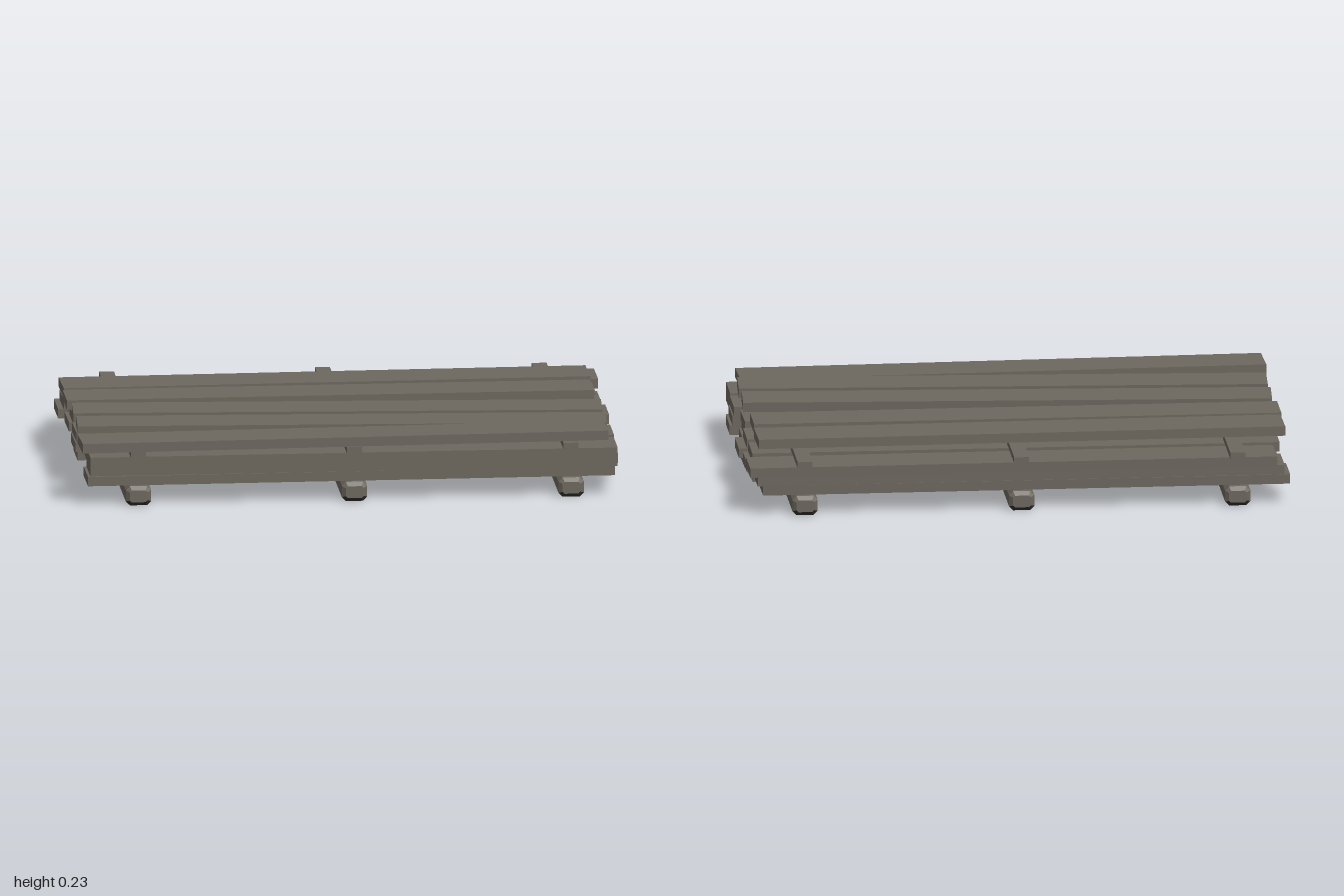
import * as THREE from 'three';

export function createModel() {
  const model = new THREE.Group();
  model.name = 'plankPallet';
  const wood = new THREE.MeshStandardMaterial({ color: 0x6c675e });
  wood.name = 'weatheredWood';
  const darkWood = new THREE.MeshStandardMaterial({ color: 0x32312e });
  darkWood.name = 'darkUnderside';

  const LENGTH = 1.935, WIDTH = 0.172, THICK = 0.035;
  const skidTop = 0.072, battenY = 0.177, topY = 0.2;

  // Weathered wood all round, dark wood on every face that points down
  function addPart(name, geometry) {
    const g = geometry.index ? geometry.toNonIndexed() : geometry;
    const normal = g.attributes.normal;
    g.clearGroups();
    for (let i = 0; i < normal.count; i += 3) g.addGroup(i, 3, normal.getY(i) < -0.3 ? 1 : 0);
    const mesh = new THREE.Mesh(g, [wood, darkWood]);
    mesh.name = name;
    model.add(mesh);
    return mesh;
  }

  // Board lying along x; zl and zr are the centres of its two ends in z
  function plank(name, y, xc, zl, zr, width = WIDTH) {
    const mesh = addPart(name, new THREE.BoxGeometry(LENGTH, THICK, width));
    mesh.position.set(xc, y + THICK / 2, (zl + zr) / 2);
    mesh.rotation.y = -Math.atan2(zr - zl, LENGTH);
  }

  // Skid beam along z with every edge chamfered
  function skidGeometry(width, height, length, c) {
    const w = width / 2 - c, h = height / 2 - c, k = c * 0.5;
    const s = new THREE.Shape();
    [[-w + k, -h], [w - k, -h], [w, -h + k], [w, h - k], [w - k, h], [-w + k, h], [-w, h - k], [-w, -h + k]]
      .forEach(([x, y], i) => (i ? s.lineTo(x, y) : s.moveTo(x, y)));
    const g = new THREE.ExtrudeGeometry(s, {
      depth: length - 2 * c, bevelEnabled: true, bevelThickness: c, bevelSize: c, bevelSegments: 1,
    });
    g.translate(0, 0, -(length - 2 * c) / 2);
    return g;
  }

  // Two sets of three skids below and three battens above the stacks
  for (const side of [1, -1]) {
    for (const x of [-0.793, 0, 0.795]) {
      addPart('skid', skidGeometry(0.093, skidTop, 0.65, 0.014))
        .position.set(x, skidTop / 2, side * 0.346);

      const depth = side > 0 ? 0.62 : 0.64;
      addPart('batten', new THREE.BoxGeometry(0.055, topY - battenY, depth))
        .position.set(x, (battenY + topY) / 2, side * 0.34);
    }
  }

  // Stacked boards: each row has three layers, bottom to top, as [x, zLeft, zRight]
  const rows = [
    [[-0.01, 0.56, 0.55], [0.0, 0.55, 0.556], [0.0, 0.552, 0.556]],
    [[0.02, 0.34, 0.352], [0.01, 0.345, 0.35], [0.005, 0.347, 0.35]],
    [[-0.01, 0.135, 0.145], [-0.02, 0.15, 0.138], [-0.015, 0.147, 0.132]],
    [[0.01, -0.127, -0.138], [0.03, -0.133, -0.128], [0.0, -0.138, -0.13]],
    [[0.0, -0.333, -0.347], [0.02, -0.34, -0.345], [0.0, -0.345, -0.34]],
    [[-0.02, -0.55, -0.555], [0.0, -0.545, -0.555], [0.028, -0.555, -0.562]],
  ];
  for (const row of rows) {
    row.forEach(([x, zl, zr], i) => plank('stackedPlank', skidTop + i * THICK, x, zl, zr));
  }

  // Loose boards laid unevenly over the battens, as [x, zLeft, zRight, width]
  const loose = [
    [-0.033, 0.58, 0.53, 0.172], [-0.02, 0.29, 0.395, 0.172], [-0.017, 0.075, 0.185, 0.172],
    [-0.025, -0.137, -0.135, 0.174], [-0.02, -0.338, -0.364, 0.18],
  ];
  for (const [x, zl, zr, width] of loose) plank('topPlank', topY, x, zl, zr, width);

  return model;
}
